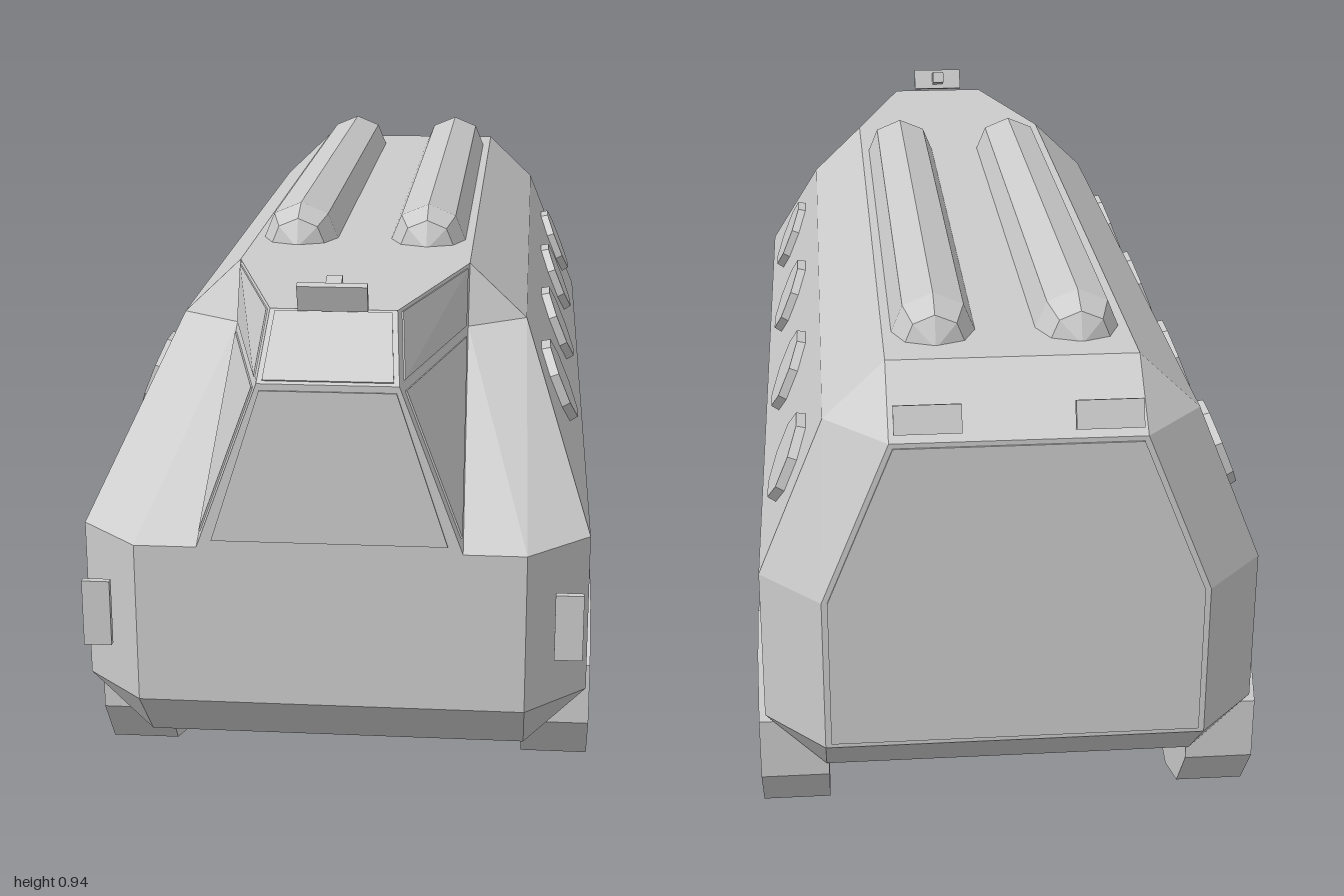
import * as THREE from 'three';

const grey = new THREE.MeshStandardMaterial({ color: 0xcccccc, flatShading: true });
const thin = new THREE.MeshStandardMaterial({ color: 0xcccccc, flatShading: true, side: THREE.DoubleSide });
const CENTRE = new THREE.Vector3(0, 0.5, 0);
const WHEELS_Z = [0.61, -0.05, -0.72];
const ARCH = 0.2, AXLE_Y = 0.175, TOP = 0.51, SILL = 0.245, FLOOR = 0.145;

const vec = p => new THREE.Vector3(...p);
const flip = p => [-p[0], p[1], p[2]];

function normalOf(f) {
  const [a, b, c] = f.map(vec);
  const n = b.sub(a).cross(c.sub(a)).normalize();
  return n.dot(a.clone().sub(CENTRE)) < 0 ? n.negate() : n;
}

// Convex polygons as fans, each turned to face away from the hull centre
function faceGeometry(faces) {
  const pos = [];
  for (const f of faces) {
    const n = normalOf(f);
    for (let i = 1; i < f.length - 1; i++) {
      const t = [vec(f[0]), vec(f[i]), vec(f[i + 1])];
      const tn = t[1].clone().sub(t[0]).cross(t[2].clone().sub(t[0]));
      if (tn.dot(n) < 0) t.reverse();
      t.forEach(v => pos.push(v.x, v.y, v.z));
    }
  }
  const g = new THREE.BufferGeometry();
  g.setAttribute('position', new THREE.Float32BufferAttribute(pos, 3));
  g.computeVertexNormals();
  return g;
}

function add(parent, name, geometry, x = 0, y = 0, z = 0, material = grey) {
  const m = new THREE.Mesh(geometry, material);
  m.name = name;
  m.position.set(x, y, z);
  parent.add(m);
  return m;
}

// Thin raised panel: a face shrunk towards its middle and lifted
function panel(parent, name, f, shrink, lift = 0.003) {
  const n = normalOf(f);
  const mid = f.reduce((s, p) => s.add(vec(p)), new THREE.Vector3()).divideScalar(f.length);
  const base = f.map(p => vec(p).lerp(mid, shrink));
  const top = base.map(p => p.clone().addScaledVector(n, lift).toArray());
  const low = base.map(p => p.toArray());
  const rim = low.map((p, i) => {
    const j = (i + 1) % low.length;
    return [p, low[j], top[j], top[i]];
  });
  add(parent, name, faceGeometry([top, ...rim]), 0, 0, 0, thin);
}

// Small lamp: plate on a short stem, facing +z
function lamp(parent, name, w, h, x, y, z) {
  const g = new THREE.Group();
  g.name = name;
  g.position.set(x, y, z);
  add(g, 'lampPlate', new THREE.BoxGeometry(w, h, 0.012));
  add(g, 'lampStem', new THREE.BoxGeometry(0.025, 0.025, 0.04), 0, 0, -0.024);
  parent.add(g);
  return g;
}

function buildHull(root) {
  // Front corners, left half
  const A = [0.31, FLOOR, 0.9], B = [0.41, SILL, 0.9], C = [0.41, TOP, 0.9];
  const D = [0.3, 0.78, 0.55], E = [0.2, 0.875, 0.55];
  const F = [0.31, SILL, 0.997], G = [0.31, TOP, 0.997], H = [0.21, TOP, 0.997];
  const I = [0.11, 0.78, 0.997], J = [0.1, 0.875, 0.9], K = [0.2, 0.775, 0.6];
  // Rear corners, left half
  const a = [0.31, FLOOR, -0.89], b = [0.41, SILL, -0.89], c = [0.41, TOP, -0.89];
  const d = [0.3, 0.78, -0.89], e = [0.2, 0.875, -0.89];
  const f = [0.31, SILL, -0.997], g = [0.31, TOP, -0.997], h = [0.2, 0.78, -0.997];

  const half = [
    [C, D, d, c], [D, E, e, d],                       // upper sides
    [F, B, C, G], [A, B, F],                          // front corner
    [G, C, D, K], [K, D, E], [H, G, K], [H, K, I],    // pillar and window recess
    [I, K, E, J],                                     // upper side window
    [f, b, c, g], [g, c, d, h], [h, d, e], [a, b, f], // rear corner
    [A, a, [0.31, TOP, -0.89], [0.31, TOP, 0.9]],     // wheel well back wall
  ];
  const span = (...pts) => [...pts, ...pts.map(flip).reverse()];
  const centre = [
    span(F, G), span(H, I), span(I, J), span(J, E), span(E, e), span(e, h),
    span(f, g, h), span(f, a), span(a, A), span(A, F),
  ];
  const mirrored = half.map(q => q.map(flip));
  add(root, 'hull', faceGeometry([...centre, ...half, ...mirrored]));

  // Windows and rear door
  panel(root, 'windscreen', span([0.19, 0.52, 0.997], [0.108, 0.772, 0.997]), 0.02);
  panel(root, 'upperWindscreen', span(I, J), 0.08);
  panel(root, 'rearDoor', span(f, g, h), 0.03);
  for (const m of [p => p, flip]) {
    panel(root, 'sideWindow', [H, K, I].map(m), 0.12);
    panel(root, 'upperSideWindow', [I, K, E, J].map(m), 0.1);
  }
}

function buildLowerSides(root) {
  // Lower wall with wheel arches, drawn in (z, y) and extruded across x
  const back = -0.89, front = 0.9;
  const s = new THREE.Shape();
  s.moveTo(back, TOP);
  s.lineTo(front, TOP);
  s.lineTo(front, SILL);
  for (const z of WHEELS_Z) {
    s.lineTo(Math.min(z + 0.19, front), SILL);
    for (let k = 1; k >= -1; k--) {
      const t = k * Math.PI / 5;
      s.lineTo(z + ARCH * Math.sin(t), AXLE_Y + ARCH * Math.cos(t));
    }
    s.lineTo(Math.max(z - 0.19, back + 0.004), SILL);
  }
  s.lineTo(back, SILL);
  const wall = new THREE.ExtrudeGeometry(s, { depth: 0.1, bevelEnabled: false });
  wall.rotateY(-Math.PI / 2); // z of the shape -> z, depth -> -x

  // Sloped sill pieces between the arches
  const tri = new THREE.Shape([[0, FLOOR], [0.1, SILL], [0, SILL]].map(p => new THREE.Vector2(...p)));
  const spans = [[0.8, 0.9], [0.14, 0.42], [-0.53, -0.24], [-0.89, -0.886]];
  for (const side of [1, -1]) {
    add(root, 'lowerSideWall', wall, side > 0 ? 0.41 : -0.31);
    for (const [z0, z1] of spans) {
      const sill = new THREE.ExtrudeGeometry(tri, { depth: z1 - z0, bevelEnabled: false });
      if (side < 0) sill.rotateY(Math.PI);
      add(root, 'slopedSill', sill, side * 0.31, 0, side > 0 ? z0 : z1);
    }
  }
}

function buildWheel() {
  const w = new THREE.Group();
  w.name = 'wheel';
  const profile = [[0, -0.057], [0.175, -0.057], [0.175, 0.058], [0.157, 0.058], [0.15, 0.046], [0, 0.046]]
    .map(p => new THREE.Vector2(...p));
  const turn = g => g.rotateZ(-Math.PI / 2);
  add(w, 'tyre', turn(new THREE.LatheGeometry(profile, 10, Math.PI / 2)));
  add(w, 'hubDisc', turn(new THREE.CylinderGeometry(0.075, 0.08, 0.008, 16)), 0.048);
  add(w, 'hubCap', turn(new THREE.CylinderGeometry(0.02, 0.02, 0.014, 10)), 0.053);
  return w;
}

export function createModel() {
  const root = new THREE.Group();
  root.name = 'armouredCarrier';
  buildHull(root);
  buildLowerSides(root);

  for (const side of [1, -1]) {
    // Wheels
    for (const z of WHEELS_Z) {
      const w = buildWheel();
      w.position.set(side * 0.363, AXLE_Y, z);
      if (side < 0) w.rotation.y = Math.PI;
      root.add(w);
    }

    // Octagonal portholes on the sloping upper sides
    const tilt = Math.atan2(0.11, 0.27);
    for (const z of [0.48, 0.065, -0.35, -0.74]) {
      const geo = new THREE.CylinderGeometry(0.074, 0.08, 0.03, 8, 1, false, Math.PI / 8);
      geo.rotateZ(-Math.PI / 2 + tilt);
      if (side < 0) geo.rotateY(Math.PI);
      add(root, 'porthole', geo, side * 0.355, 0.647, z);
    }

    // Roof ribs
    const rib = new THREE.CapsuleGeometry(0.07, 1.12, 2, 8).rotateX(Math.PI / 2);
    add(root, 'roofRib', rib, side * 0.117, 0.87, -0.205);

    // Headlamps and rear roof lamps
    lamp(root, 'headlamp', 0.045, 0.11, side * 0.378, 0.385, 0.975);
    const rear = lamp(root, 'rearLamp', 0.105, 0.045, side * 0.14, 0.815, -0.988);
    rear.rotation.set(0.35, Math.PI, 0);
  }

  // Lamp above the windscreen
  const roofLamp = lamp(root, 'roofLamp', 0.11, 0.045, 0, 0.898, 0.915);
  roofLamp.rotation.x = 0.35;
  return root;
}
